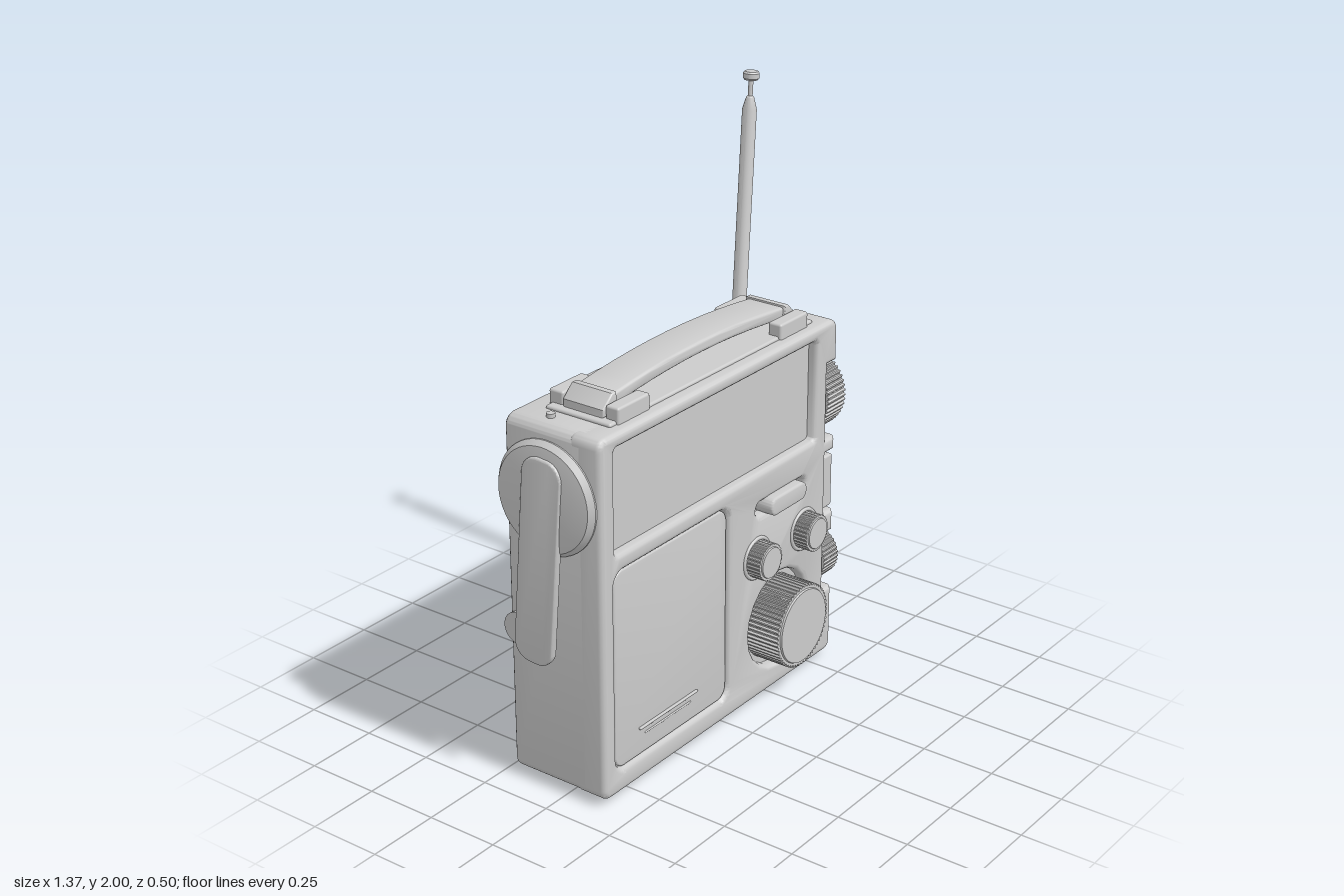
import * as THREE from 'three';
import { toCreasedNormals } from 'three/addons/utils/BufferGeometryUtils.js';
import { RoundedBoxGeometry } from 'three/addons/geometries/RoundedBoxGeometry.js';

const mat = new THREE.MeshStandardMaterial({ color: 0xcccccc });

function add(parent, name, geo, x = 0, y = 0, z = 0) {
  const m = new THREE.Mesh(geo, mat);
  m.name = name;
  m.position.set(x, y, z);
  parent.add(m);
  return m;
}

function group(parent, name, x = 0, y = 0, z = 0, ry = 0) {
  const g = new THREE.Group();
  g.name = name;
  g.position.set(x, y, z);
  g.rotation.y = ry;
  parent.add(g);
  return g;
}

// Rounded rectangle outline
function roundRect(x0, y0, x1, y1, r) {
  const s = new THREE.Shape();
  s.absarc(x1 - r, y0 + r, r, -Math.PI / 2, 0);
  s.absarc(x1 - r, y1 - r, r, 0, Math.PI / 2);
  s.absarc(x0 + r, y1 - r, r, Math.PI / 2, Math.PI);
  s.absarc(x0 + r, y0 + r, r, Math.PI, Math.PI * 1.5);
  return s;
}

function disc(x, y, r) {
  return new THREE.Shape().absarc(x, y, r, 0, Math.PI * 2);
}

// Bevelled plate from z0 to z1; the bevel stays inside the outline
function plate(shape, z0, z1, bevel = 0.01, holes = []) {
  shape.holes.push(...holes);
  const g = new THREE.ExtrudeGeometry(shape, {
    depth: z1 - z0 - 2 * bevel, bevelEnabled: bevel > 0, bevelSize: bevel,
    bevelThickness: bevel, bevelOffset: -bevel, bevelSegments: 3, curveSegments: 10,
  });
  g.translate(0, 0, z0 + bevel);
  return toCreasedNormals(g, 0.6);
}

function box(parent, name, x0, x1, y0, y1, z0, z1, r = 0.008) {
  const g = new RoundedBoxGeometry(x1 - x0, y1 - y0, z1 - z0, 2, r);
  return add(parent, name, g, (x0 + x1) / 2, (y0 + y1) / 2, (z0 + z1) / 2);
}

// Cylinder along z from z0 to z1
function rod(r0, r1, z0, z1, seg = 40) {
  return new THREE.CylinderGeometry(r1, r0, z1 - z0, seg).rotateX(Math.PI / 2).translate(0, 0, (z0 + z1) / 2);
}

// Knurled cylinder along z
function knurl(r, z0, z1, teeth) {
  const pts = [];
  for (let i = 0; i < teeth * 4; i++) {
    const a = (i / (teeth * 4)) * Math.PI * 2;
    const q = i % 4 < 2 ? r : r * 0.95;
    pts.push(new THREE.Vector2(Math.cos(a) * q, Math.sin(a) * q));
  }
  const g = new THREE.ExtrudeGeometry(new THREE.Shape(pts), { depth: z1 - z0, bevelEnabled: false });
  return g.translate(0, 0, z0);
}

// Front shell outline with cut-outs for the side controls
function frontOutline() {
  const s = new THREE.Shape();
  const L = -0.645, R = 0.6, B = 0.02, T = 1.24, r = 0.04;
  s.moveTo(L + r, B);
  s.lineTo(R - r, B);
  s.quadraticCurveTo(R, B, R, B + r);
  for (const [y0, y1] of [[0.26, 0.47], [0.55, 0.77], [0.82, 1.09]]) {
    s.lineTo(R, y0);
    s.lineTo(0.548, y0);
    s.lineTo(0.548, y1);
    s.lineTo(R, y1);
  }
  s.lineTo(R, T - r);
  s.quadraticCurveTo(R, T, R - r, T);
  s.lineTo(L + r, T);
  s.quadraticCurveTo(L, T, L, T - r);
  s.lineTo(L, B + r);
  s.quadraticCurveTo(L, B, L + r, B);
  return s;
}

function buildCase(root) {
  const g = group(root, 'case');
  add(g, 'frontShell', plate(frontOutline(), 0.03, 0.15, 0.018, [
    roundRect(-0.572, 0.843, 0.482, 1.192, 0.015),
    roundRect(-0.58, 0.098, 0.002, 0.785, 0.045),
    roundRect(0.153, 0.688, 0.427, 0.734, 0.022),
    disc(0.287, 0.27, 0.168),
  ]));
  add(g, 'backShell', plate(roundRect(-0.645, 0.02, 0.6, 1.24, 0.04), -0.215, 0.09, 0.018, [
    roundRect(-0.5, 0.935, 0.41, 1.105, 0.084),
  ]));
  box(g, 'core', -0.62, 0.54, 0.05, 1.21, -0.185, 0.115);
  // Speaker panel with its slot
  add(g, 'speakerPanel', plate(roundRect(-0.577, 0.101, -0.001, 0.782, 0.043), 0.1, 0.14, 0.006));
  box(g, 'speakerTrim', -0.46, -0.16, 0.192, 0.2, 0.135, 0.148, 0.003);
  box(g, 'speakerTrim', -0.43, -0.19, 0.165, 0.172, 0.135, 0.143, 0.003);
  // Side switch, top button and feet
  box(g, 'sideSwitch', 0.54, 0.597, 0.565, 0.755, 0.06, 0.142);
  add(g, 'topButton', new THREE.CylinderGeometry(0.014, 0.014, 0.02, 16), -0.58, 1.243, -0.085);
  for (const x of [-0.575, 0.545]) box(g, 'foot', x - 0.01, x + 0.01, 0, 0.03, -0.175, 0.11, 0.004);
}

function buildFrontControls(root) {
  const g = group(root, 'frontControls');
  add(g, 'slider', plate(roundRect(0.19, 0.682, 0.39, 0.745, 0.03), 0.1, 0.183, 0.008));
  for (const x of [0.155, 0.42]) {
    const k = group(g, 'smallKnob', x, 0.545, 0);
    add(k, 'collar', new THREE.TorusGeometry(0.069, 0.007, 8, 40), 0, 0, 0.15);
    add(k, 'grip', knurl(0.064, 0.14, 0.205, 28));
    add(k, 'cap', rod(0.055, 0.052, 0.2, 0.21));
  }
  const d = group(g, 'tuningDial', 0.287, 0.27, 0);
  add(d, 'grip', knurl(0.146, 0.1, 0.244, 56));
  add(d, 'cap', rod(0.132, 0.128, 0.24, 0.25, 56));
}

function buildSideKnobs(root) {
  const big = group(root, 'sideTuningKnob', 0, 0.955, 0.015, Math.PI / 2);
  add(big, 'grip', knurl(0.14, 0.548, 0.648, 52));
  add(big, 'innerGrip', knurl(0.108, 0.64, 0.676, 44));
  add(big, 'cap', rod(0.102, 0.1, 0.67, 0.68));
  const small = group(root, 'sideVolumeKnob', 0, 0.365, 0.066, Math.PI / 2);
  add(small, 'grip', knurl(0.088, 0.548, 0.63, 36));
  add(small, 'cap', rod(0.083, 0.08, 0.625, 0.636));
}

function buildHandle(root) {
  const g = group(root, 'carryHandle');
  box(g, 'handleBed', -0.54, 0.515, 1.22, 1.25, -0.14, 0.107);
  for (const x of [-0.51, 0.322])
    for (const [z0, z1] of [[-0.15, -0.095], [0.065, 0.115]]) box(g, 'bracket', x, x + 0.153, 1.23, 1.292, z0, z1);
  // Arched strap
  const s = new THREE.Shape();
  s.moveTo(-0.45, 1.268);
  s.quadraticCurveTo(-0.02, 1.325, 0.42, 1.268);
  s.lineTo(0.43, 1.308);
  s.quadraticCurveTo(-0.02, 1.365, -0.46, 1.308);
  add(g, 'strap', plate(s, -0.085, 0.058, 0.01));
  // Sloping strap ends
  for (const side of [-1, 1]) {
    const e = new THREE.Shape();
    const pts = [[0.498, 1.25], [0.498, 1.275], [0.455, 1.315], [0.435, 1.315], [0.425, 1.25]];
    e.setFromPoints(pts.map(([x, y]) => new THREE.Vector2(x * side - 0.018, y)));
    add(g, 'strapEnd', plate(e, -0.092, 0.064, 0.006));
  }
}

function buildAntenna(root) {
  const hinge = group(root, 'antennaHinge', 0.53, 0, 0);
  add(hinge, 'hingeBlock', plate(roundRect(-0.035, 0.64, 0.035, 0.83, 0.034), -0.248, -0.2, 0.012));
  add(hinge, 'hingePin', rod(0.014, 0.014, -0.253, -0.24, 16), 0, 0.69, 0);
  // Telescopic mast, leaning outwards
  const a = group(root, 'antenna', 0.534, 0.8, -0.222);
  a.rotation.z = -0.0725;
  const profile = [[0, 0], [0.018, 0], [0.018, 0.03], [0.027, 0.04], [0.027, 0.075], [0.02, 0.085], [0.02, 0.1],
    [0.027, 0.11], [0.027, 0.15], [0.024, 0.16], [0.024, 1.075], [0.013, 1.115], [0.008, 1.12], [0.008, 1.17],
    [0.022, 1.172], [0.027, 1.178], [0.027, 1.194], [0.022, 1.2], [0, 1.2]];
  const lathe = new THREE.LatheGeometry(profile.map(([r, y]) => new THREE.Vector2(r, y)), 24);
  add(a, 'mast', toCreasedNormals(lathe, 0.5));
}

function buildCrank(root) {
  const c = group(root, 'crank', -0.645, 1.01, -0.05, -Math.PI / 2);
  add(c, 'housing', rod(0.12, 0.18, -0.18, -0.04));
  const rim = [[0, -0.05], [0.18, -0.05], [0.187, -0.03], [0.187, 0.005], [0.172, 0.024], [0.13, 0.032], [0, 0.034]];
  const lathe = new THREE.LatheGeometry(rim.map(([r, y]) => new THREE.Vector2(r, y)), 48).rotateX(Math.PI / 2);
  add(c, 'disc', toCreasedNormals(lathe, 0.6));
  const arm = add(c, 'arm', plate(roundRect(-0.075, -0.56, 0.075, 0.14, 0.06), 0.016, 0.04, 0.006));
  arm.rotation.z = -0.08;
  // Folding grip tucked against the rear corner
  add(c, 'grip', rod(0.04, 0.055, -0.11, 0.02), -0.115, -0.47, 0);
  box(root, 'crankCatch', -0.555, -0.53, 0.8, 0.88, -0.243, -0.2);
}

function buildBack(root) {
  const g = group(root, 'backDetails');
  box(g, 'label', -0.02, 0.33, 0.46, 0.7, -0.219, -0.205, 0.003);
  box(g, 'socketCover', -0.31, -0.07, 0.46, 0.57, -0.219, -0.205, 0.003);
  box(g, 'socketCover', -0.31, -0.07, 0.58, 0.69, -0.219, -0.205, 0.003);
  add(g, 'batteryDoor', plate(roundRect(-0.55, 0.03, 0.55, 0.31, 0.03), -0.221, -0.2, 0.005));
  // Door latch bar with its end blocks
  const bar = rod(0.028, 0.028, -0.17, 0.165, 24).rotateY(Math.PI / 2);
  add(g, 'latchBar', bar, 0, 0.365, -0.22);
  for (const x of [-0.225, 0.22]) {
    box(g, 'latchBlock', x - 0.025, x + 0.025, 0.33, 0.4, -0.24, -0.2);
    box(g, 'latchTab', x * 1.16 - 0.018, x * 1.16 + 0.018, 0.335, 0.395, -0.232, -0.2);
  }
}

export function createModel() {
  const root = new THREE.Group();
  root.name = 'portableRadio';
  for (const build of [buildCase, buildFrontControls, buildSideKnobs, buildHandle, buildAntenna, buildCrank, buildBack]) build(root);
  return root;
}
